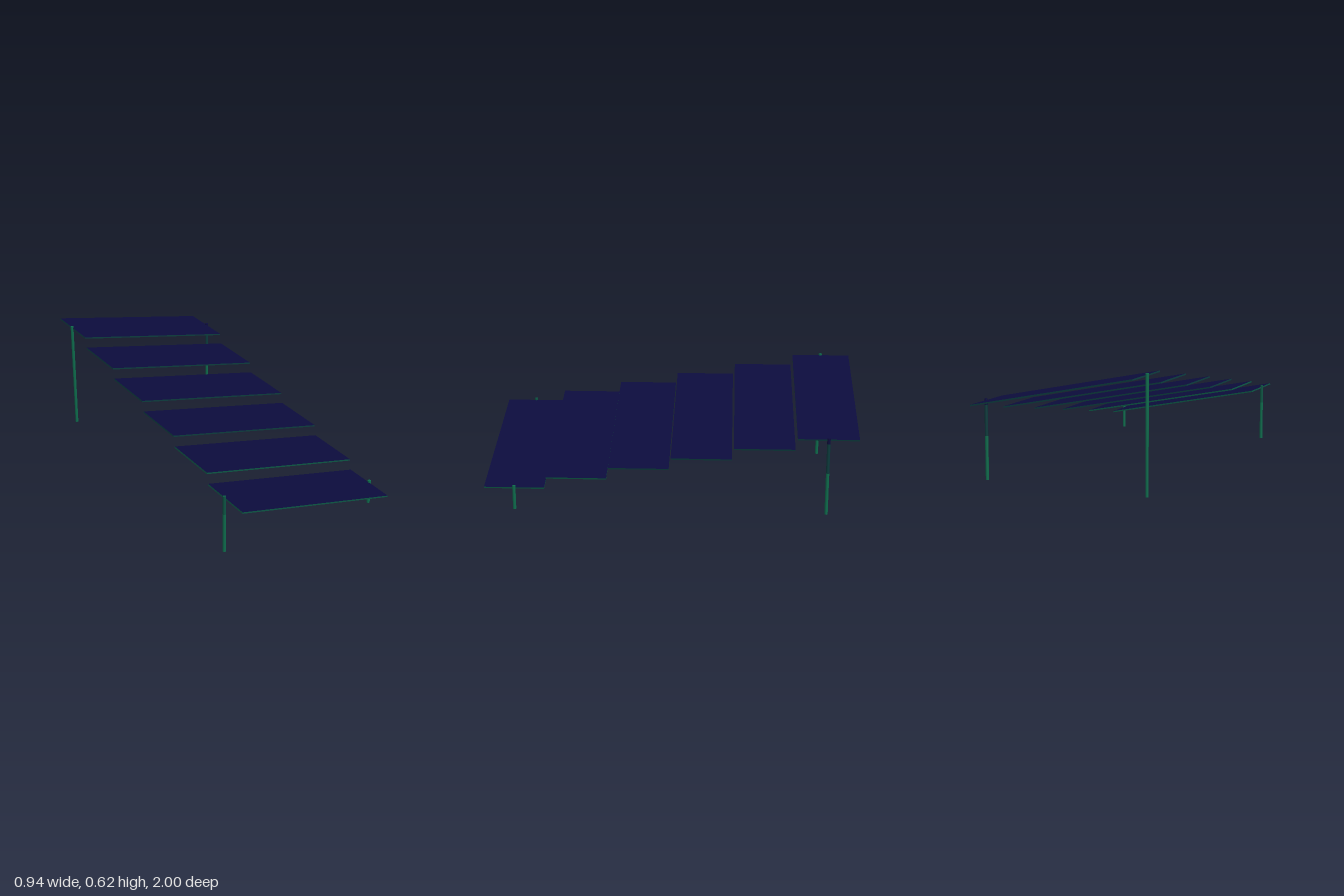
import * as THREE from 'three';

const mat = (name, color) => {
  const m = new THREE.MeshStandardMaterial({ color });
  m.name = name;
  return m;
};

export function createModel() {
  const group = new THREE.Group();
  const navy = mat('navy', 0x0c0c3d);
  const green = mat('green', 0x0d6b4c);
  const midGreen = mat('midGreen', 0x0b5543);
  const teal = mat('darkTeal', 0x0b3a3c);

  // Six tilted panels stepping down from back to front
  const panels = new THREE.Group();
  panels.name = 'panels';
  const tilt = -Math.atan2(0.19, 0.912);
  const panelGeometry = new THREE.BoxGeometry(0.932, 0.008, 0.325);
  for (let i = 0; i < 6; i++) {
    const edge = i < 4 ? teal : midGreen;
    const panel = new THREE.Mesh(panelGeometry, [edge, edge, navy, navy, edge, edge]);
    panel.name = 'panel' + (i + 1);
    panel.position.set(0, 0.515 - 0.06 * i, -0.8375 + 0.335 * i);
    panel.rotation.z = tilt;
    panels.add(panel);
  }
  group.add(panels);

  // Corner posts, each stacked from coloured sections [top height, material]
  const post = (name, x, z, sections) => {
    const g = new THREE.Group();
    g.name = name;
    let base = 0;
    for (const [top, material] of sections) {
      const mesh = new THREE.Mesh(new THREE.CylinderGeometry(0.009, 0.009, top - base, 8), material);
      mesh.name = name + 'Section';
      mesh.position.y = (base + top) / 2;
      base = top;
      g.add(mesh);
    }
    g.position.set(x, 0, z);
    group.add(g);
  };
  post('backRightPost', -0.459, -0.8375, [[0.622, green]]);
  post('backLeftPost', 0.459, -0.8375, [[0.235, green], [0.4, teal], [0.432, navy]]);
  post('frontRightPost', -0.459, 0.8375, [[0.22, green], [0.325, midGreen]]);
  post('frontLeftPost', 0.459, 0.8375, [[0.135, green]]);

  return group;
}
